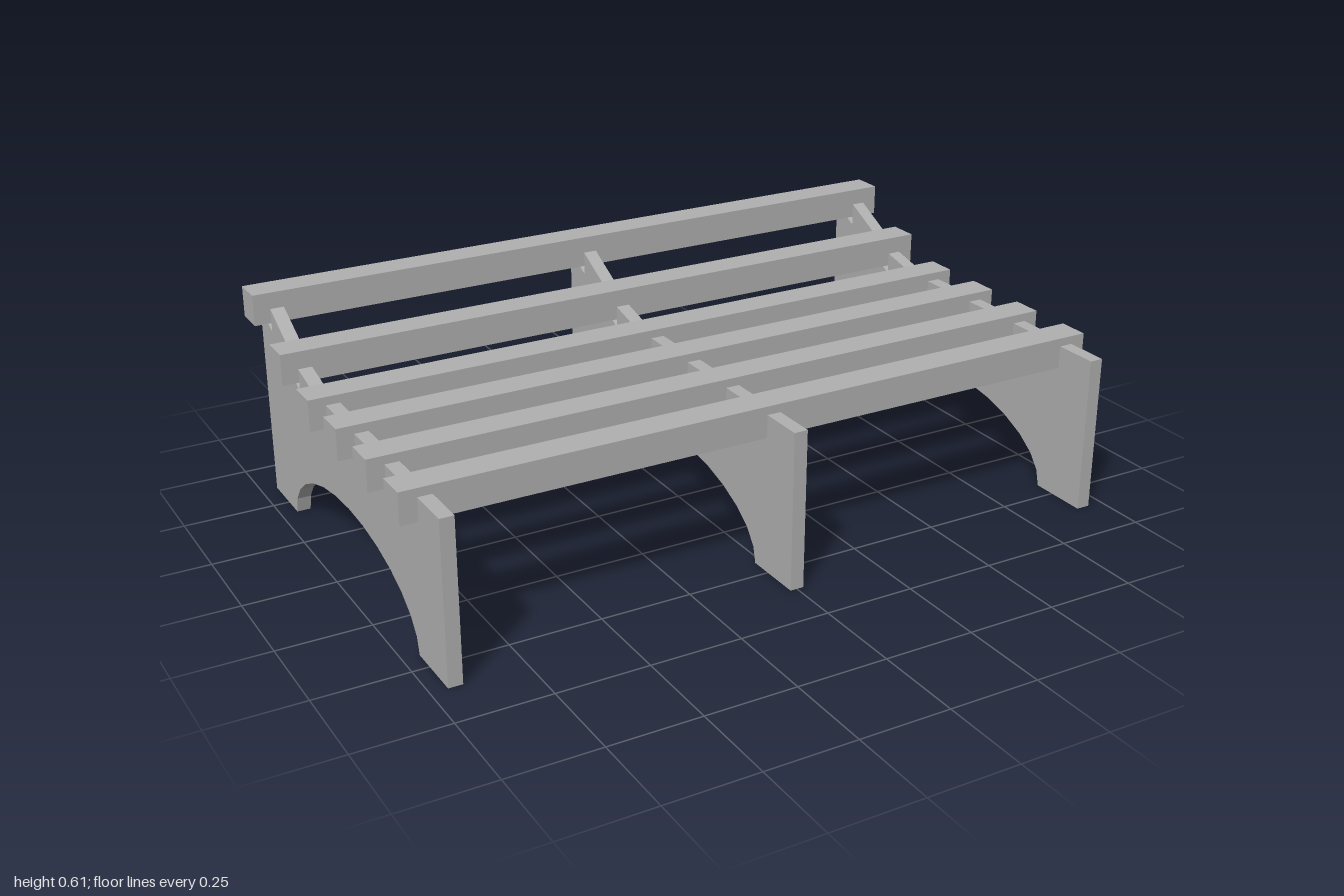
import * as THREE from 'three';

export function createModel() {
  const group = new THREE.Group();
  const grey = new THREE.MeshStandardMaterial({ color: 0xb0b0b0 });
  grey.name = 'plain grey';

  // Slat centres as [z, y]: four level, two climbing to the back
  const slats = [[0.437, 0.415], [0.237, 0.415], [0.037, 0.415], [-0.163, 0.415], [-0.362, 0.468], [-0.562, 0.567]];
  const size = 0.086;
  const half = size / 2;

  // Side profile of a support, drawn in (z, y)
  const profile = new THREE.Shape();
  profile.moveTo(0.609, 0);
  profile.lineTo(0.609, 0.437);
  // square notches for the level slats
  for (const [z, y] of slats.slice(0, 4)) {
    profile.lineTo(z + half + 0.004, 0.437);
    profile.lineTo(z + half + 0.004, y - half);
    profile.lineTo(z - half, y - half);
    profile.lineTo(z - half, 0.437);
  }
  // slanted notches on the rising back
  profile.lineTo(-0.318, 0.463);
  profile.lineTo(-0.318, 0.4);
  profile.lineTo(-0.406, 0.446);
  profile.lineTo(-0.406, 0.509);
  profile.lineTo(-0.517, 0.565);
  profile.lineTo(-0.517, 0.5);
  profile.lineTo(-0.604, 0.545);
  profile.lineTo(-0.604, 0.609);
  profile.lineTo(-0.608, 0.609);
  profile.lineTo(-0.608, 0.545);
  profile.lineTo(-0.604, 0.54);
  profile.lineTo(-0.604, 0);
  // arch between the feet
  const steps = 14;
  for (let i = 0; i <= steps; i++) {
    const a = Math.PI * (1 - i / steps);
    profile.lineTo(0.003 + 0.436 * Math.cos(a), 0.198 * Math.sin(a));
  }

  const width = 0.038;
  const supportGeometry = new THREE.ExtrudeGeometry(profile, { depth: width, bevelEnabled: false });
  supportGeometry.translate(0, 0, -width / 2);
  supportGeometry.rotateY(-Math.PI / 2);

  [['right', -0.936], ['middle', 0], ['left', 0.936]].forEach(([side, x]) => {
    const support = new THREE.Mesh(supportGeometry, grey);
    support.name = side + 'Support';
    support.position.x = x;
    group.add(support);
  });

  // Long slats across the supports
  const slatGeometry = new THREE.BoxGeometry(2, size, size);
  slats.forEach(([z, y], i) => {
    const slat = new THREE.Mesh(slatGeometry, grey);
    slat.name = (i < 4 ? 'seatSlat' : 'backSlat') + (i + 1);
    slat.position.set(0, y, z);
    group.add(slat);
  });

  return group;
}
